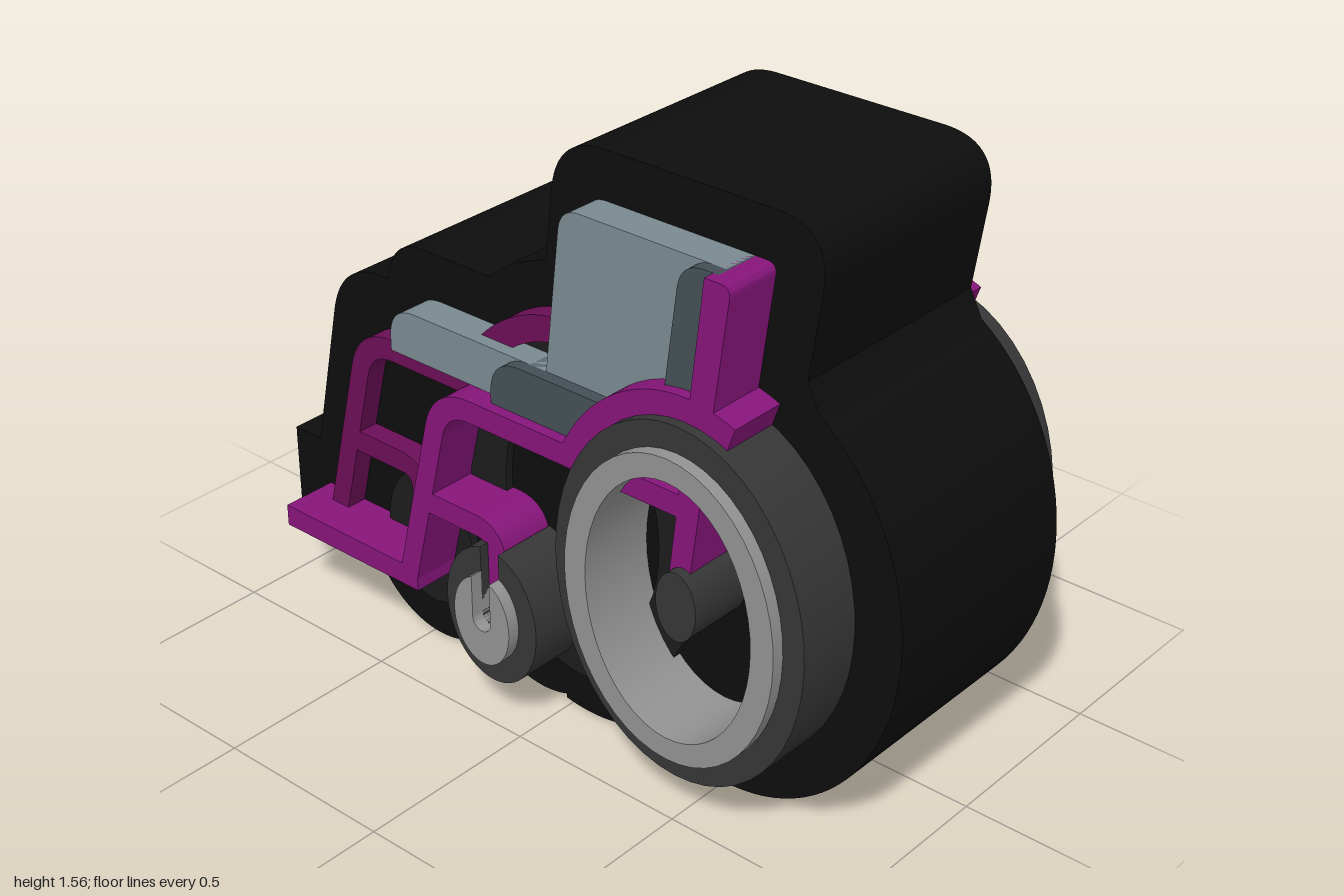
import * as THREE from 'three';
import { toCreasedNormals } from 'three/addons/utils/BufferGeometryUtils.js';

const paint = (color) => new THREE.MeshStandardMaterial({ color });
const black = paint(0x0d0d0d);
const shadow = paint(0x1c1c1c);
const rubber = paint(0x363636);
const metal = paint(0x929292);
const purple = paint(0x86157a);
const darkPurple = paint(0x6c0f58);
const cushion = paint(0x7a8a91);
const darkCushion = paint(0x434f55);

const rad = THREE.MathUtils.degToRad;

// Draw corners [x, y, radius] into a path, rounding those with a radius
function trace(path, corners) {
  corners.forEach(([x, y, r = 0], i) => {
    if (i === 0) return path.moveTo(x, y);
    if (!r) return path.lineTo(x, y);
    const toward = ([px, py]) => {
      const d = Math.hypot(px - x, py - y);
      return [x + (px - x) * r / d, y + (py - y) * r / d];
    };
    path.lineTo(...toward(corners[i - 1]));
    path.quadraticCurveTo(x, y, ...toward(corners[(i + 1) % corners.length]));
  });
  return path;
}

const polygon = (corners) => trace(new THREE.Shape(), corners);

// Constant-width band along a rounded centre line
function band(corners, width = 0.06) {
  const pts = trace(new THREE.Path(), corners).getPoints(10);
  const left = [], right = [];
  pts.forEach((p, i) => {
    const a = pts[Math.max(i - 1, 0)], b = pts[Math.min(i + 1, pts.length - 1)];
    const n = new THREE.Vector2(a.y - b.y, b.x - a.x).setLength(width / 2);
    left.push(p.clone().add(n));
    right.push(p.clone().sub(n));
  });
  return new THREE.Shape([...left, ...right.reverse()]);
}

function ellipse(cx, cy, rx, ry, hole) {
  const s = new THREE.Shape();
  s.absellipse(cx, cy, rx, ry, 0, Math.PI * 2, false, 0);
  if (hole) s.holes.push(new THREE.Path().absellipse(cx, cy, hole[0], hole[1], 0, Math.PI * 2, true, 0));
  return s;
}

// Ellipse with a round-ended slot from the top, leaving room for the fork
function slottedEllipse(cx, cy, rx, ry, slotY = 0.315, half = 0.03) {
  const a = Math.acos(half / rx);
  const s = new THREE.Shape();
  s.moveTo(cx + half, slotY);
  s.absarc(cx, slotY, half, 0, Math.PI, true);
  s.absellipse(cx, cy, rx, ry, Math.PI - a, Math.PI * 2 + a, false, 0);
  return s;
}

// Crescent following the top of a wheel
function fenderShape(cx) {
  const s = new THREE.Shape();
  s.absellipse(cx, 0.595, 0.435, 0.533, rad(71), rad(152), false, 0);
  s.absellipse(cx, 0.595, 0.365, 0.465, rad(152), rad(71), true, 0);
  return s;
}

export function createModel() {
  const model = new THREE.Group();

  // Every part is a profile extruded evenly to both sides of z = 0
  const add = (name, shape, half, material) => {
    const geo = new THREE.ExtrudeGeometry(shape, { depth: half * 2, bevelEnabled: false, curveSegments: 24 });
    geo.translate(0, 0, -half);
    const mesh = new THREE.Mesh(toCreasedNormals(geo, 0.5), material);
    mesh.name = name;
    model.add(mesh);
  };

  // Thick black backing: stepped top edge, then the wheel arcs along the bottom
  const backing = polygon([
    [-1, 0.13], [-1, 0.435], [-0.905, 0.435], [-0.78, 1.005, 0.16], [-0.605, 1.005],
    [-0.575, 1.125, 0.1], [-0.25, 1.125], [-0.17, 1.185], [-0.06, 1.23],
    [-0.02, 1.56, 0.15], [0.772, 1.56, 0.16], [0.715, 1.18], [0.75, 1.11],
  ]);
  [[0.5, 0.595, 0.5, 0.595, 60, -116], [0.06, 0.595, 0.5, 0.595, -64, -99],
    [-0.1, 0.32, 0.275, 0.315, -73, -134], [-0.47, 0.32, 0.275, 0.315, -49, -143],
  ].forEach(([x, y, rx, ry, from, to]) => backing.absellipse(x, y, rx, ry, rad(from), rad(to), true, 0));
  add('backing', backing, 0.307, black);

  // Far-side wheels
  add('farWheel', ellipse(0.06, 0.595, 0.372, 0.472, [0.25, 0.345]), 0.33, shadow);
  add('farHub', ellipse(0.06, 0.595, 0.06, 0.092), 0.33, shadow);
  add('farCaster', ellipse(-0.47, 0.314, 0.152, 0.19), 0.33, shadow);

  // Frame bars, the far set shifted forward and shallower
  for (const [prefix, dx, half, mat] of [['far', -0.365, 0.365, darkPurple], ['near', 0, 0.463, purple]]) {
    add(prefix + 'FrameBar', band([[-0.417 + dx, 0.28], [-0.276 + dx, 0.845, 0.1], [0.5 + dx, 0.845]]), half, mat);
    const forkEnd = dx ? 0.46 : 0.315;
    add(prefix + 'Fork', band([[-0.35 + dx, 0.533], [-0.097 + dx, 0.533, 0.07], [-0.097 + dx, forkEnd]]), half, mat);
    add(prefix + 'Fender', fenderShape(dx ? 0.06 : 0.5), half, mat);
  }
  add('forkTip', ellipse(-0.097, 0.315, 0.03, 0.03), 0.463, purple);
  add('footrest', polygon([[-0.875, 0.25], [-0.385, 0.25], [-0.385, 0.31], [-0.875, 0.31]]), 0.463, purple);
  add('backPost', polygon([[0.455, 0.65], [0.515, 0.65], [0.624, 1.435, 0.03], [0.55, 1.435]]), 0.463, purple);

  // Seat and backrest cushions
  add('seat', polygon([[0.05, 0.875], [0.05, 1], [-0.505, 1, 0.09], [-0.505, 0.875]]), 0.4, cushion);
  add('seatSide', polygon([[0.5, 0.875], [0.5, 1], [-0.13, 1, 0.1], [-0.13, 0.875]]), 0.433, darkCushion);
  add('backrest', polygon([[0.02, 0.98], [0.54, 0.98], [0.56, 1.435], [0.075, 1.435, 0.06]]), 0.4, cushion);
  add('backrestSide', polygon([[0.385, 0.9], [0.5, 0.9], [0.565, 1.435], [0.458, 1.435, 0.07]]), 0.433, darkCushion);

  // Large wheel
  add('wheelTyre', ellipse(0.498, 0.595, 0.372, 0.472, [0.312, 0.405]), 0.49, rubber);
  add('wheelRim', ellipse(0.498, 0.595, 0.312, 0.405, [0.247, 0.345]), 0.524, metal);
  add('wheelHub', ellipse(0.498, 0.595, 0.06, 0.092), 0.49, rubber);

  // Small front caster
  add('casterTyre', slottedEllipse(-0.097, 0.314, 0.152, 0.19), 0.49, rubber);
  add('casterRim', slottedEllipse(-0.097, 0.314, 0.093, 0.124), 0.524, metal);

  return model;
}
